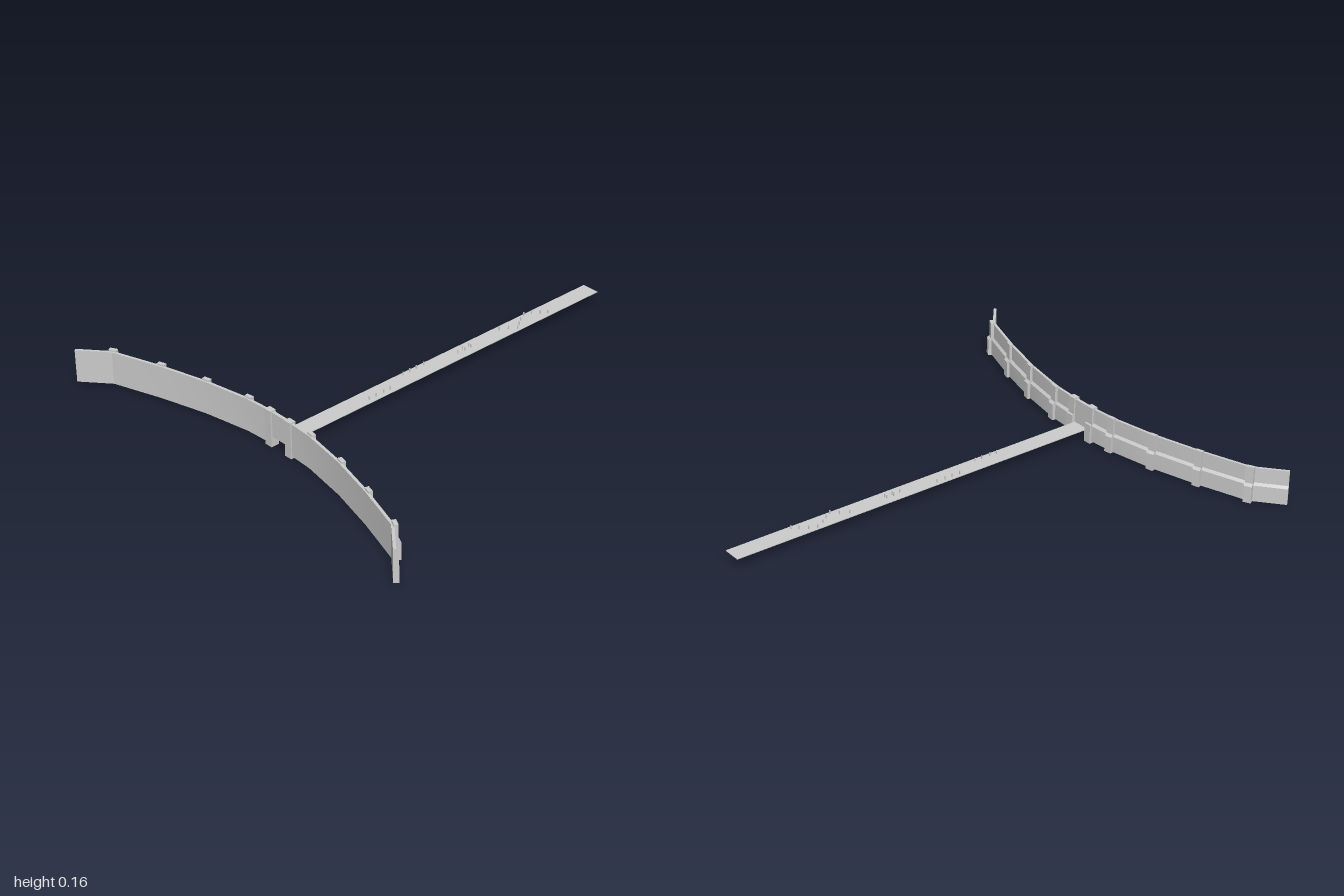
import * as THREE from 'three';
import { toCreasedNormals } from 'three/addons/utils/BufferGeometryUtils.js';

const grey = new THREE.MeshStandardMaterial({ color: 0xcccccc });

// Plan of the wall's front face on the +x side: [x, z]
const plan = [[0.06, 0.73], [0.18, 0.737], [0.39, 0.775], [0.6, 0.832], [0.815, 0.903], [0.93, 1.0]];

// Stepped cross-sections: [distance behind the front face, height]
const stepped = (front, bottom, top, upper, lower) => [
  [front, bottom], [lower, bottom], [lower, 0.08], [upper, 0.09], [upper, top], [front, top],
].map(([d, y]) => new THREE.Vector2(d, y));
const wallProfile = stepped(0, 0.01, 0.155, 0.012, 0.022);
const ribProfile = stepped(0.006, 0.007, 0.162, 0.023, 0.034);

// Points along one half with the direction pointing behind the wall
function stations(side) {
  const pts = plan.map(([x, z]) => [x * side, z]);
  if (side < 0) pts.reverse();
  return pts.map(([x, z], i) => {
    const a = pts[Math.max(i - 1, 0)], b = pts[Math.min(i + 1, pts.length - 1)];
    const dx = b[0] - a[0], dz = b[1] - a[1], l = Math.hypot(dx, dz);
    return { x, z, nx: dz / l, nz: -dx / l };
  });
}

// Sweep a profile through the stations and cap both ends
function sweep(profile, line) {
  const pos = [], n = profile.length;
  const put = (s, p) => pos.push(s.x + s.nx * p.x, p.y, s.z + s.nz * p.x);
  for (let i = 0; i < line.length - 1; i++) {
    const s = line[i], t = line[i + 1];
    for (let j = 0; j < n; j++) {
      const a = profile[j], b = profile[(j + 1) % n];
      put(s, a); put(s, b); put(t, b);
      put(s, a); put(t, b); put(t, a);
    }
  }
  for (const [a, b, c] of THREE.ShapeUtils.triangulateShape(profile, [])) {
    [c, b, a].forEach((k) => put(line[0], profile[k]));
    [a, b, c].forEach((k) => put(line[line.length - 1], profile[k]));
  }
  const g = new THREE.BufferGeometry();
  g.setAttribute('position', new THREE.Float32BufferAttribute(pos, 3));
  return toCreasedNormals(g, 0.3);
}

export function createModel() {
  const model = new THREE.Group();
  model.name = 'curvedBarrier';

  const add = (name, geometry, parent = model) => {
    const m = new THREE.Mesh(geometry, grey);
    m.name = name;
    parent.add(m);
    return m;
  };
  // Box given by its limits
  const box = (name, x0, x1, y0, y1, z0, z1, parent) => {
    const m = add(name, new THREE.BoxGeometry(x1 - x0, y1 - y0, z1 - z0), parent);
    m.position.set((x0 + x1) / 2, (y0 + y1) / 2, (z0 + z1) / 2);
    return m;
  };

  // Wall halves with ribs on the rear face
  const ribWidth = 0.034;
  const ribGeometry = new THREE.ExtrudeGeometry(new THREE.Shape(ribProfile), { depth: ribWidth, bevelEnabled: false });
  ribGeometry.translate(0, 0, -ribWidth / 2);
  for (const side of [-1, 1]) {
    const label = side > 0 ? 'left' : 'right';
    const line = stations(side);
    add(label + 'Wall', sweep(wallProfile, line));
    line.slice(1, -1).forEach((s) => {
      const rib = add(label + 'Rib', ribGeometry);
      rib.position.set(s.x, 0, s.z);
      rib.rotation.y = Math.atan2(-s.nz, s.nx);
    });

    // Gate pillars, thicker in the lower half at the rear
    const cx = side * 0.0575, w = 0.0175;
    box(label + 'GatePillar', cx - w, cx + w, 0, 0.16, 0.71, 0.737);
    box(label + 'GatePillarFoot', cx - w, cx + w, 0, 0.085, 0.7, 0.715);
  }

  // Panel above the gate opening
  box('gatePanel', -0.045, 0.045, 0.045, 0.155, 0.716, 0.73);

  // Thin straight deck
  box('deck', -0.04, 0.04, 0.047, 0.05, -1, 0.718);

  // Tiny posts standing on the deck: [x, z]
  const posts = [
    [0.023, -0.715], [0.004, -0.69], [-0.018, -0.66], [-0.031, -0.628], [-0.012, -0.59],
    [0.01, -0.56], [0.029, -0.53], [0.004, -0.502], [-0.015, -0.467],
    [-0.008, -0.285], [0.004, -0.285], [-0.008, -0.25], [0.004, -0.25], [0.002, -0.215],
    [-0.026, -0.05], [-0.026, -0.01], [-0.026, 0.025], [-0.026, 0.063],
    [0.02, 0.175], [0.02, 0.21], [0.02, 0.25], [0.02, 0.285],
  ];
  const group = new THREE.Group();
  group.name = 'deckPosts';
  model.add(group);
  for (const [x, z] of posts) box('post', x - 0.002, x + 0.002, 0.05, 0.066, z - 0.002, z + 0.002, group);

  return model;
}
